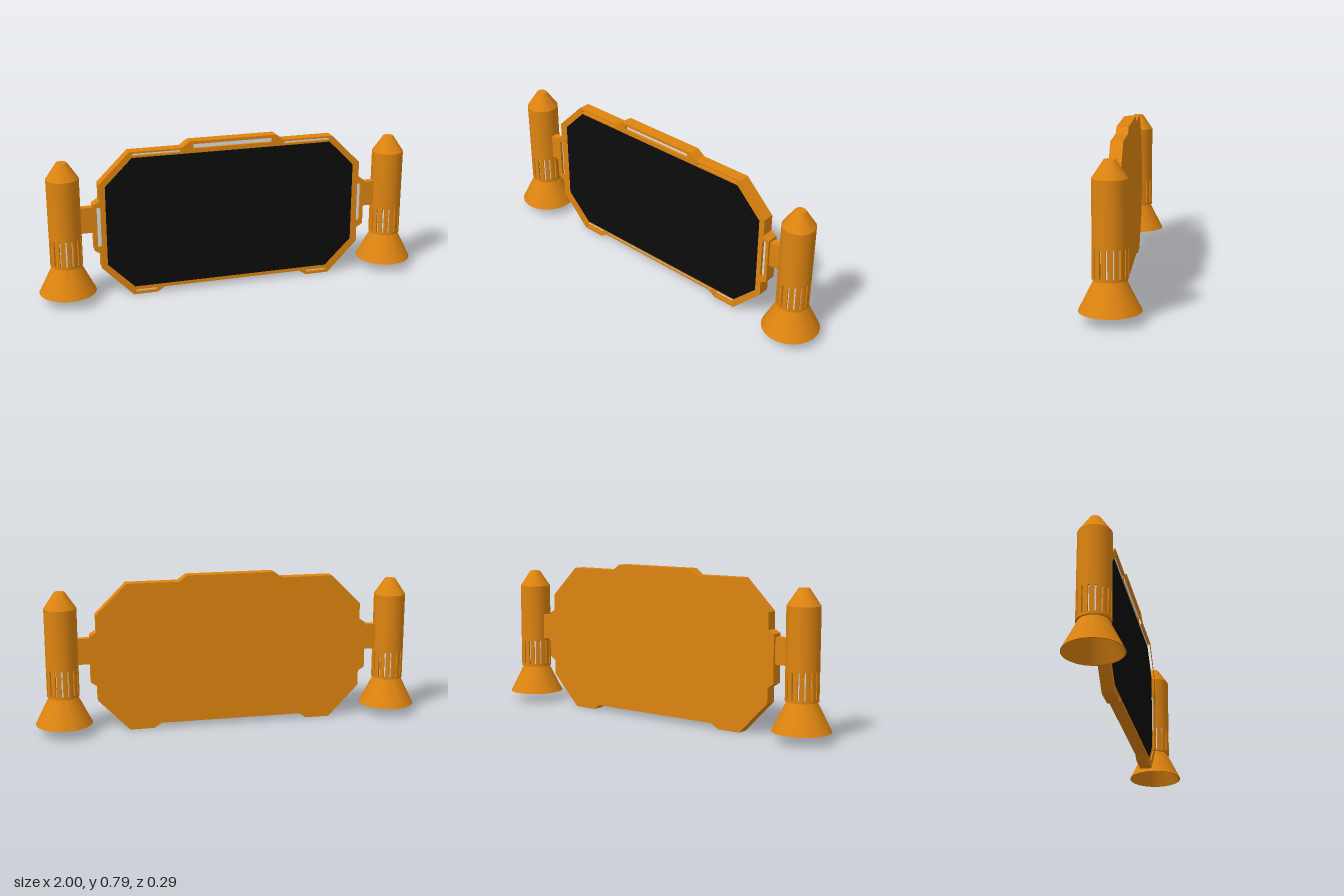
import * as THREE from 'three';
import { toCreasedNormals } from 'three/addons/utils/BufferGeometryUtils.js';

export function createModel() {
  const model = new THREE.Group();
  const orange = new THREE.MeshStandardMaterial({ color: 0xde8410 });
  const black = new THREE.MeshStandardMaterial({ color: 0x0c0c0c });
  const light = new THREE.MeshStandardMaterial({ color: 0xdde1e4 });
  orange.name = 'orange shell';
  black.name = 'black screen';
  light.name = 'pale light';

  const add = (parent, name, geometry, material, x = 0, y = 0, z = 0) => {
    const mesh = new THREE.Mesh(geometry, material);
    mesh.name = name;
    mesh.position.set(x, y, z);
    parent.add(mesh);
    return mesh;
  };
  const vecs = (pts) => pts.map(([x, y]) => new THREE.Vector2(x, y));
  // Closes a right-hand half outline (top to bottom) with its mirror image
  const mirrored = (half) => vecs([...half, ...half.map(([x, y]) => [-x, y]).reverse()]);
  const extrude = (shape, depth, curveSegments = 4) =>
    new THREE.ExtrudeGeometry(shape, { depth, bevelEnabled: false, curveSegments });

  // Panel outlines
  const outline = mirrored([
    [0.225, 0.787], [0.265, 0.757], [0.53, 0.757], [0.685, 0.603], [0.685, 0.518],
    [0.717, 0.5], [0.717, 0.26], [0.685, 0.24], [0.685, 0.163], [0.527, 0],
    [0.403, 0], [0.365, 0.025],
  ]);
  const screenOutline = mirrored([[0.517, 0.727], [0.655, 0.589], [0.655, 0.175], [0.517, 0.037]]);

  // Light slots: x0, x1, y0, y1
  const slots = [[-0.205, 0.205, 0.75, 0.772]];
  for (const [a, b, y0, y1] of [
    [0.27, 0.515, 0.737, 0.748], [0.68, 0.7, 0.28, 0.485], [0.405, 0.515, 0.014, 0.025],
  ]) slots.push([a, b, y0, y1], [-b, -a, y0, y1]);

  // Back plate, front frame with openings, recessed screen and lights
  const panel = new THREE.Group();
  panel.name = 'displayPanel';
  model.add(panel);
  add(panel, 'backPlate', extrude(new THREE.Shape(outline), 0.042), orange, 0, 0, -0.03);
  const frame = new THREE.Shape(outline);
  frame.holes.push(new THREE.Path(screenOutline));
  for (const [x0, x1, y0, y1] of slots) {
    frame.holes.push(new THREE.Path(vecs([[x0, y0], [x1, y0], [x1, y1], [x0, y1]])));
    add(panel, 'lightStrip', new THREE.BoxGeometry(x1 - x0, y1 - y0, 0.004), light,
      (x0 + x1) / 2, (y0 + y1) / 2, 0.014);
  }
  add(panel, 'frontFrame', extrude(frame, 0.018), orange, 0, 0, 0.012);
  add(panel, 'screen', extrude(new THREE.Shape(screenOutline), 0.004), black, 0, 0, 0.012);

  // Thruster geometry
  const lathe = (pts) => toCreasedNormals(new THREE.LatheGeometry(vecs(pts), 48), 0.4);
  const nozzle = lathe([
    [0.066, 0.195], [0.137, 0.05], [0.143, 0.05], [0.071, 0.194],
    [0.081, 0.194], [0.081, 0.207], [0.072, 0.207],
  ]);
  const hull = lathe([[0.072, 0.338], [0.081, 0.338], [0.081, 0.643], [0.026, 0.725], [0, 0.725]]);

  // Ring of wall segments separated by narrow vents
  const count = 16, step = (Math.PI * 2) / count, gap = 0.095;
  const walls = [];
  for (let i = 0; i < count; i++) {
    const a = i * step - 0.1 + gap / 2, b = a + step - gap;
    const wall = new THREE.Shape();
    wall.absarc(0, 0, 0.081, a, b, false);
    wall.absarc(0, 0, 0.071, b, a, true);
    wall.closePath();
    walls.push(wall);
  }
  const vents = toCreasedNormals(extrude(walls, 0.131).rotateX(-Math.PI / 2), 0.4);

  // A thruster on each side, joined to the panel by a bracket
  for (const side of [1, -1]) {
    const thruster = new THREE.Group();
    thruster.name = side > 0 ? 'leftThruster' : 'rightThruster';
    thruster.position.x = side * 0.857;
    model.add(thruster);
    add(thruster, 'hull', hull, orange);
    add(thruster, 'ventWalls', vents, orange, 0, 0.207, 0);
    add(thruster, 'nozzle', nozzle, orange);
    add(thruster, 'glowingCore', new THREE.CylinderGeometry(0.072, 0.07, 0.145, 48), light, 0, 0.2675, 0);
    add(thruster, 'bracket', new THREE.BoxGeometry(0.09, 0.132, 0.036), orange, -side * 0.1, 0.42, 0);
  }
  return model;
}
